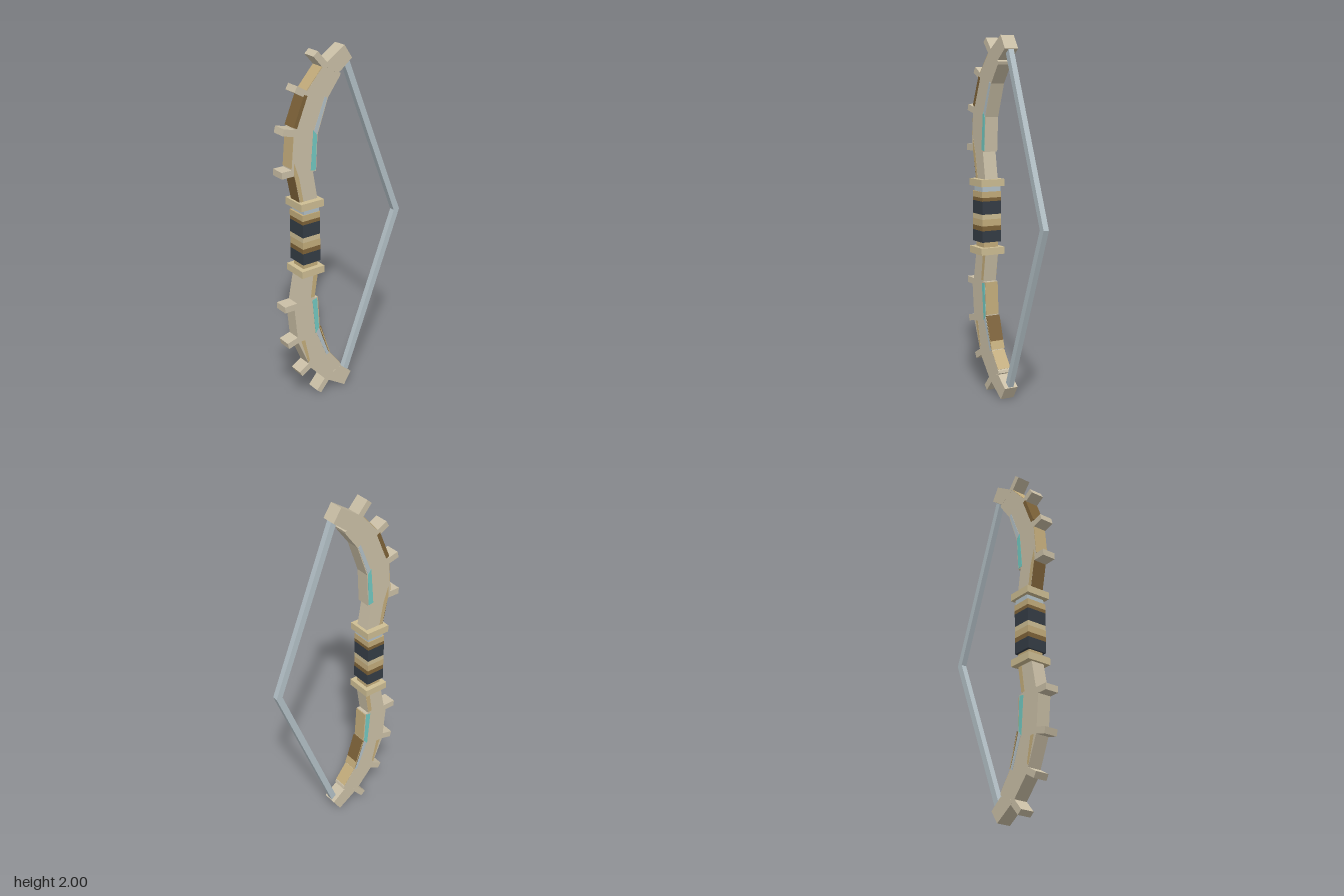
import * as THREE from 'three';

const mat = (name, color) => {
  const m = new THREE.MeshStandardMaterial({ color });
  m.name = name;
  return m;
};

export function createModel() {
  const bone = mat('bone', 0xcabfa6);
  const tan = mat('tan', 0xc3ac7b);
  const collarTan = mat('collarTan', 0xcdbd93);
  const brown = mat('brown', 0x7d6238);
  const dark = mat('darkWrap', 0x343c45);
  const steel = mat('steel', 0xb3c0c6);
  const teal = mat('teal', 0x72c8c0);

  const bow = new THREE.Group();
  bow.name = 'bow';

  // Flat outline given depth, centred on z = 0
  const slab = (parent, name, points, depth, material) => {
    const shape = new THREE.Shape(points.map(([x, y]) => new THREE.Vector2(x, y)));
    const geo = new THREE.ExtrudeGeometry(shape, { depth, bevelEnabled: false });
    geo.translate(0, 0, -depth / 2);
    const mesh = new THREE.Mesh(geo, material);
    mesh.name = name;
    parent.add(mesh);
  };

  // Bar of a given width running from a to b
  const bar = (parent, name, a, b, width, depth, material) => {
    const len = Math.hypot(b[0] - a[0], b[1] - a[1]);
    const mesh = new THREE.Mesh(new THREE.BoxGeometry(len, width, depth), material);
    mesh.position.set((a[0] + b[0]) / 2, (a[1] + b[1]) / 2, 0);
    mesh.rotation.z = Math.atan2(b[1] - a[1], b[0] - a[0]);
    mesh.name = name;
    parent.add(mesh);
  };

  const box = (name, x0, x1, y0, y1, depth, material) => {
    const mesh = new THREE.Mesh(new THREE.BoxGeometry(x1 - x0, y1 - y0, depth), material);
    mesh.position.set((x0 + x1) / 2, (y0 + y1) / 2, 0);
    mesh.name = name;
    bow.add(mesh);
  };

  const outer = [[-0.29, 1.2], [-0.327, 1.39], [-0.34, 1.4], [-0.32, 1.61], [-0.24, 1.8], [-0.127, 1.925]];
  const inner = [[-0.03, 1.86], [-0.035, 1.845], [-0.11, 1.745], [-0.177, 1.56], [-0.188, 1.368], [-0.208, 1.368], [-0.18, 1.2]];
  const spikes = [
    [[-0.4, 1.385], [-0.3, 1.385]],
    [[-0.385, 1.612], [-0.29, 1.588]],
    [[-0.305, 1.82], [-0.21, 1.765]],
    [[-0.183, 1.98], [-0.12, 1.908]],
  ];

  for (const upper of [true, false]) {
    const limb = new THREE.Group();
    limb.name = upper ? 'upperLimb' : 'lowerLimb';
    bow.add(limb);
    const f = ([x, y]) => [x, upper ? y : 2 - y];
    const part = (name, pts, depth, m) => slab(limb, name, pts.map(f), depth, m);

    // Curved limb and its tip block
    part('limbBody', [...outer, ...inner], 0.08, bone);
    part('tip', [[-0.135, 1.915], [-0.005, 2], [0.042, 1.928], [-0.035, 1.868], [-0.06, 1.87]], 0.081, bone);

    // Spikes along the outer edge
    for (const [a, b] of spikes) bar(limb, 'spike', f(a), f(b), 0.036, 0.08, bone);

    // Inlaid strips on both broad faces
    part('tealInlay', [[-0.203, 1.59], [-0.181, 1.562], [-0.192, 1.372], [-0.222, 1.378]], 0.084, teal);
    part('steelInlay', [[-0.199, 1.585], [-0.181, 1.565], [-0.115, 1.745], [-0.13, 1.755]], 0.083, steel);

    // String half
    part('bowstring', [[0.008, 1.905], [0.038, 1.925], [0.4, 1], [0.362, 1]], 0.032, steel);

    if (upper) {
      // Worn edge on the outside of the upper limb
      bar(limb, 'brownEdge', [-0.313, 1.62], [-0.246, 1.78], 0.022, 0.082, brown);
      bar(limb, 'tanEdge', [-0.24, 1.8], [-0.133, 1.919], 0.006, 0.079, tan);
      bar(limb, 'tanEdge', [-0.339, 1.41], [-0.321, 1.6], 0.006, 0.079, tan);
      bar(limb, 'tanEdge', [-0.29, 1.21], [-0.324, 1.38], 0.008, 0.079, brown);
      part('tanStrip', [[-0.327, 1.38], [-0.325, 1.44], [-0.295, 1.35], [-0.27, 1.21], [-0.288, 1.21]], 0.082, tan);
    } else {
      // Worn edge on the inside of the lower limb
      bar(limb, 'brownEdge', [-0.172, 0.44], [-0.116, 0.262], 0.012, 0.082, brown);
      bar(limb, 'tanEdge', [-0.171, 0.435], [-0.11, 0.257], 0.006, 0.083, tan);
      bar(limb, 'tanEdge', [-0.187, 0.63], [-0.177, 0.445], 0.006, 0.079, tan);
      bar(limb, 'tanEdge', [-0.11, 0.252], [-0.04, 0.16], 0.006, 0.079, tan);
      part('tanStrip', [[-0.182, 1.205], [-0.207, 1.36], [-0.232, 1.36], [-0.21, 1.205]], 0.082, tan);
      part('tanStrip', [[-0.3, 1.61], [-0.275, 1.61], [-0.245, 1.75], [-0.255, 1.76]], 0.082, tan);
    }
  }

  // Collars at both ends of the grip
  for (const y of [0.79, 1.175]) box('collar', -0.307, -0.164, y, y + 0.04, 0.146, collarTan);

  // Grip core and the wrapped bands around it
  box('gripCoreLower', -0.28, -0.188, 0.82, 1, 0.09, tan);
  box('gripCoreUpper', -0.28, -0.182, 1, 1.18, 0.112, steel);
  const bands = [
    [0.86, 0.925, dark], [0.925, 0.952, brown], [0.952, 0.99, tan], [0.99, 1.018, collarTan],
    [1.018, 1.092, dark], [1.092, 1.112, brown], [1.112, 1.146, tan],
  ];
  for (const [y0, y1, m] of bands) box('gripBand', -0.291, -0.18, y0, y1, 0.12, m);

  return bow;
}
